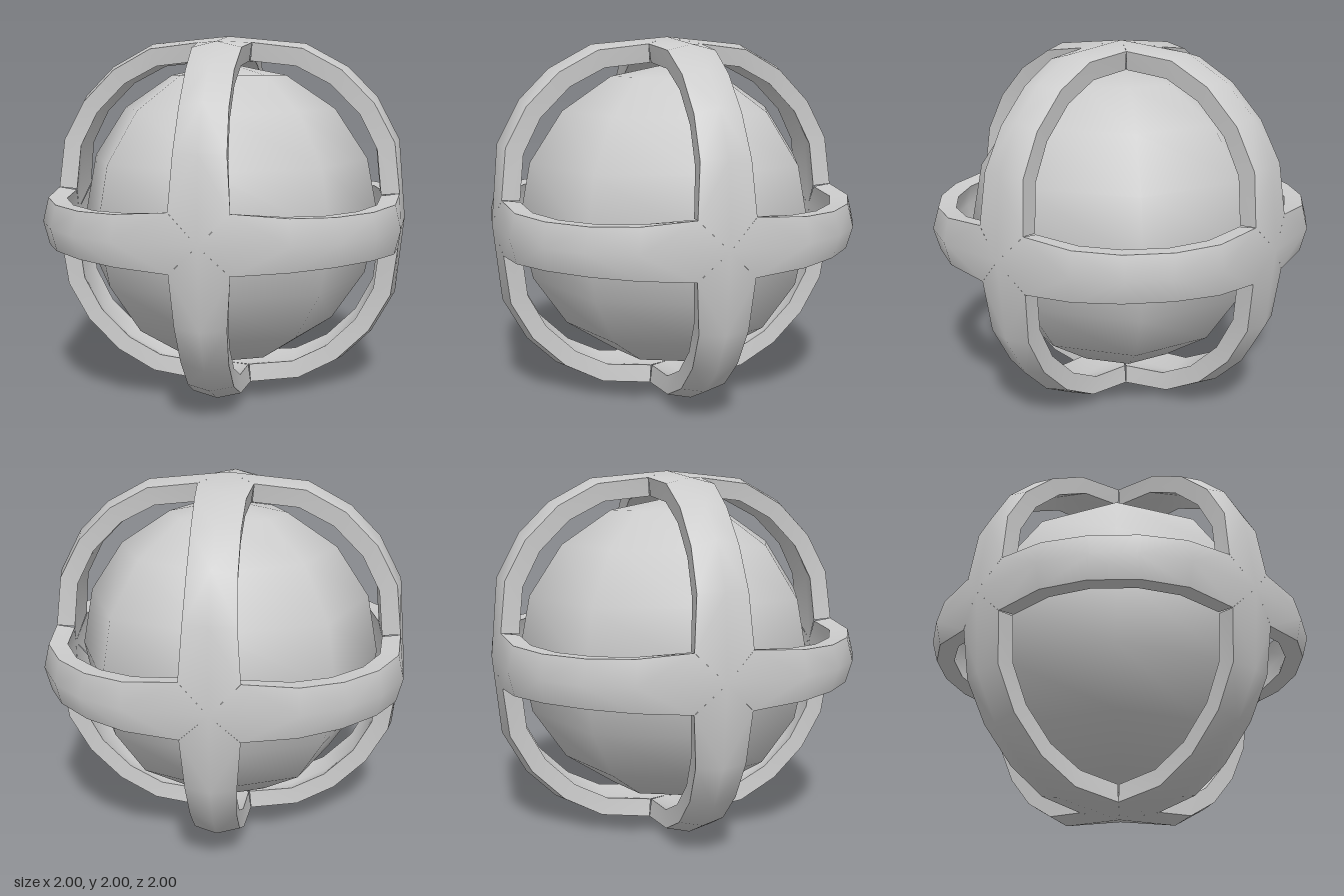
import * as THREE from 'three';
import { mergeGeometries, toCreasedNormals } from 'three/addons/utils/BufferGeometryUtils.js';

// Half an arc of the cage, from a crossing to the middle: [angle, radius, half width]
const ridgeOuter = [[0, 1.0, 0], [24.3, 1.052, 0], [38.8, 1.067, 0]];
const edgeOuter = [[8.9, 0.972, 0.15], [24.5, 1.02, 0.13], [38, 1.032, 0.122]];
const edgeInner = [[9.2, 0.873, 0.135], [24.9, 0.92, 0.122], [38, 0.935, 0.115]];
const ridgeInner = [[0, 0.9, 0], [24.3, 0.95, 0], [38.8, 0.965, 0]];

// Closed six-point section of the band at station i (0..5), mirrored about 45 degrees
function section(i) {
  const k = i < 3 ? i : 5 - i;
  const place = ([deg, r, w], side) => {
    const t = THREE.MathUtils.degToRad(i < 3 ? deg : 90 - deg);
    return [r * Math.cos(t), r * Math.sin(t), w * side];
  };
  return [
    place(ridgeOuter[k], 1), place(edgeOuter[k], 1), place(edgeInner[k], 1),
    place(ridgeInner[k], 1), place(edgeInner[k], -1), place(edgeOuter[k], -1),
  ];
}

// Quarter band lofted through its sections; open ends meet at the crossings
function quarterBand() {
  const positions = [];
  const index = [];
  for (let i = 0; i < 6; i++) section(i).forEach((p) => positions.push(...p));
  for (let i = 0; i < 5; i++) {
    for (let j = 0; j < 6; j++) {
      const a = i * 6 + j, b = i * 6 + (j + 1) % 6;
      const c = b + 6, d = a + 6;
      if ((j % 3 === 0) === (i < 2)) index.push(a, d, b, b, d, c);
      else index.push(a, d, c, a, c, b);
    }
  }
  const geometry = new THREE.BufferGeometry();
  geometry.setAttribute('position', new THREE.Float32BufferAttribute(positions, 3));
  geometry.setIndex(index);
  return geometry;
}

export function createModel() {
  const model = new THREE.Group();
  const material = new THREE.MeshStandardMaterial({ color: 0xcccccc });

  // Inner ball
  const ball = new THREE.Mesh(new THREE.SphereGeometry(0.85, 8, 8), material);
  ball.name = 'innerBall';

  // Cage: three crossing rings, four quarter bands each
  const X = new THREE.Vector3(1, 0, 0), Y = new THREE.Vector3(0, 1, 0), Z = new THREE.Vector3(0, 0, 1);
  const bands = [];
  for (const axes of [[X, Y, Z], [Y, Z, X], [Z, X, Y]]) {
    const plane = new THREE.Matrix4().makeBasis(...axes);
    for (let q = 0; q < 4; q++) {
      bands.push(quarterBand().rotateZ(q * Math.PI / 2).applyMatrix4(plane));
    }
  }
  const cageGeometry = toCreasedNormals(mergeGeometries(bands), THREE.MathUtils.degToRad(45));
  const cage = new THREE.Mesh(cageGeometry, material);
  cage.name = 'ringCage';

  for (const part of [ball, cage]) {
    part.position.y = 1;
    model.add(part);
  }
  return model;
}
